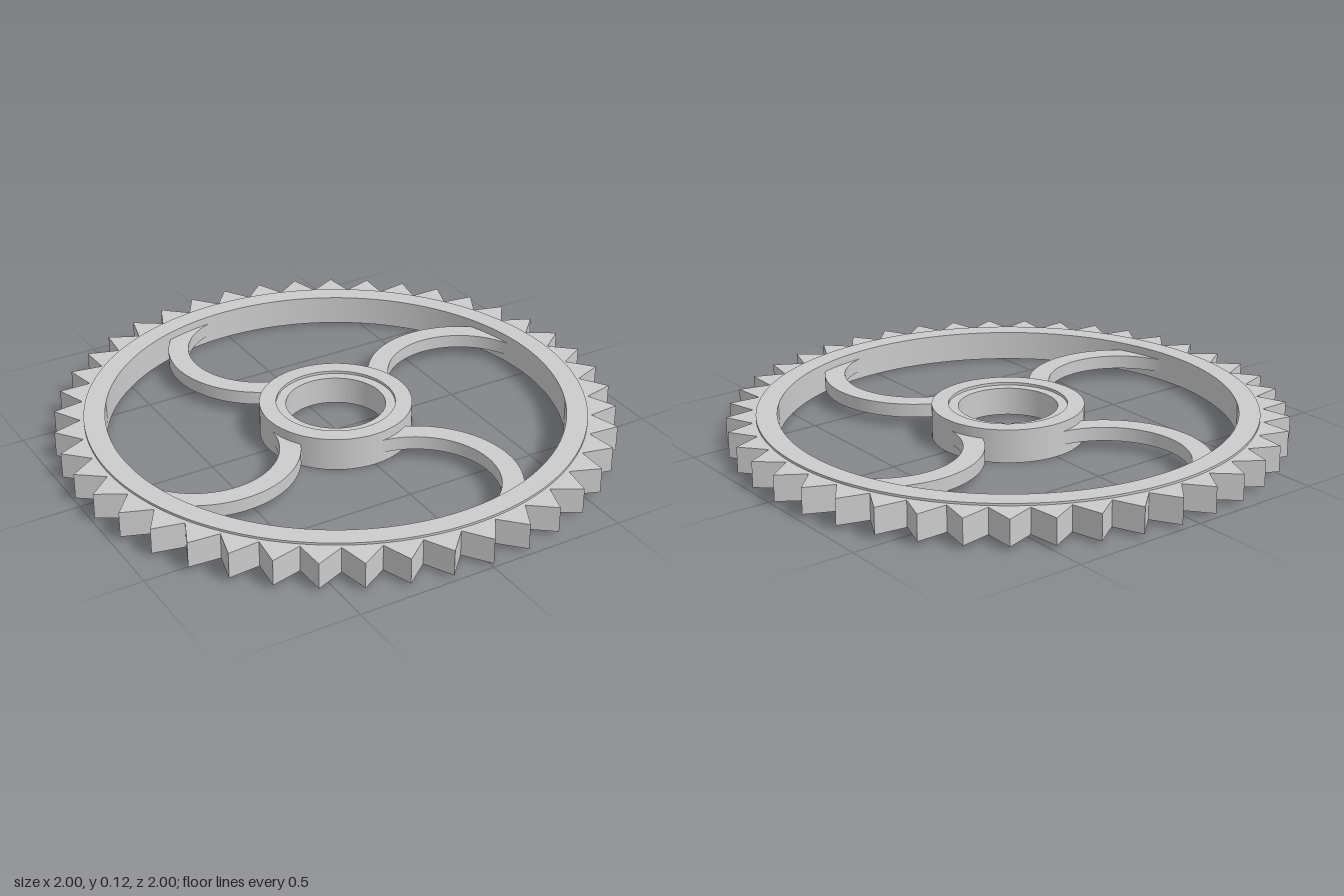
import * as THREE from 'three';
import { toCreasedNormals } from 'three/addons/utils/BufferGeometryUtils.js';

const TEETH = 43;
const material = new THREE.MeshStandardMaterial({ color: 0xcccccc });

// Flat shape raised between two heights, lying in the ground plane
function slab(name, shape, y0, y1, curveSegments = 48) {
  const geo = new THREE.ExtrudeGeometry(shape, { depth: y1 - y0, bevelEnabled: false, curveSegments });
  geo.rotateX(-Math.PI / 2).translate(0, y0, 0);
  const mesh = new THREE.Mesh(toCreasedNormals(geo, 0.5), material);
  mesh.name = name;
  return mesh;
}

function withHole(shape, radius) {
  shape.holes.push(new THREE.Path().absarc(0, 0, radius, 0, Math.PI * 2, true));
  return shape;
}

function ring(name, outer, inner, y0, y1) {
  const shape = new THREE.Shape().absarc(0, 0, outer, 0, Math.PI * 2, false);
  return slab(name, withHole(shape, inner), y0, y1, 96);
}

export function createModel() {
  const group = new THREE.Group();
  group.name = 'gearWheel';

  // Pointed teeth, one tip facing straight to the front
  const points = [];
  for (let i = 0; i < TEETH * 2; i++) {
    const a = -Math.PI / 2 + (i * Math.PI) / TEETH;
    const r = i % 2 ? 0.908 : 1.0;
    points.push(new THREE.Vector2(r * Math.cos(a), r * Math.sin(a)));
  }
  group.add(slab('teeth', withHole(new THREE.Shape(points), 0.86), 0.014, 0.108, 96));

  // Rim stands slightly proud of the teeth
  group.add(ring('rim', 0.895, 0.82, 0.006, 0.116));

  // Hub collar with a slightly recessed bore sleeve
  group.add(ring('hubCollar', 0.273, 0.213, 0, 0.122));
  group.add(ring('hubSleeve', 0.22, 0.178, 0.01, 0.112));

  // Four curved spokes, each half an annulus between hub and rim
  for (let i = 0; i < 4; i++) {
    const shape = new THREE.Shape()
      .absarc(0.55, 0, 0.355, 0.1, Math.PI, false)
      .absarc(0.55, 0, 0.28, Math.PI, 0.1, true);
    const spoke = slab('spoke', shape, 0.036, 0.086);
    spoke.rotation.y = (i * Math.PI) / 2;
    group.add(spoke);
  }
  return group;
}
